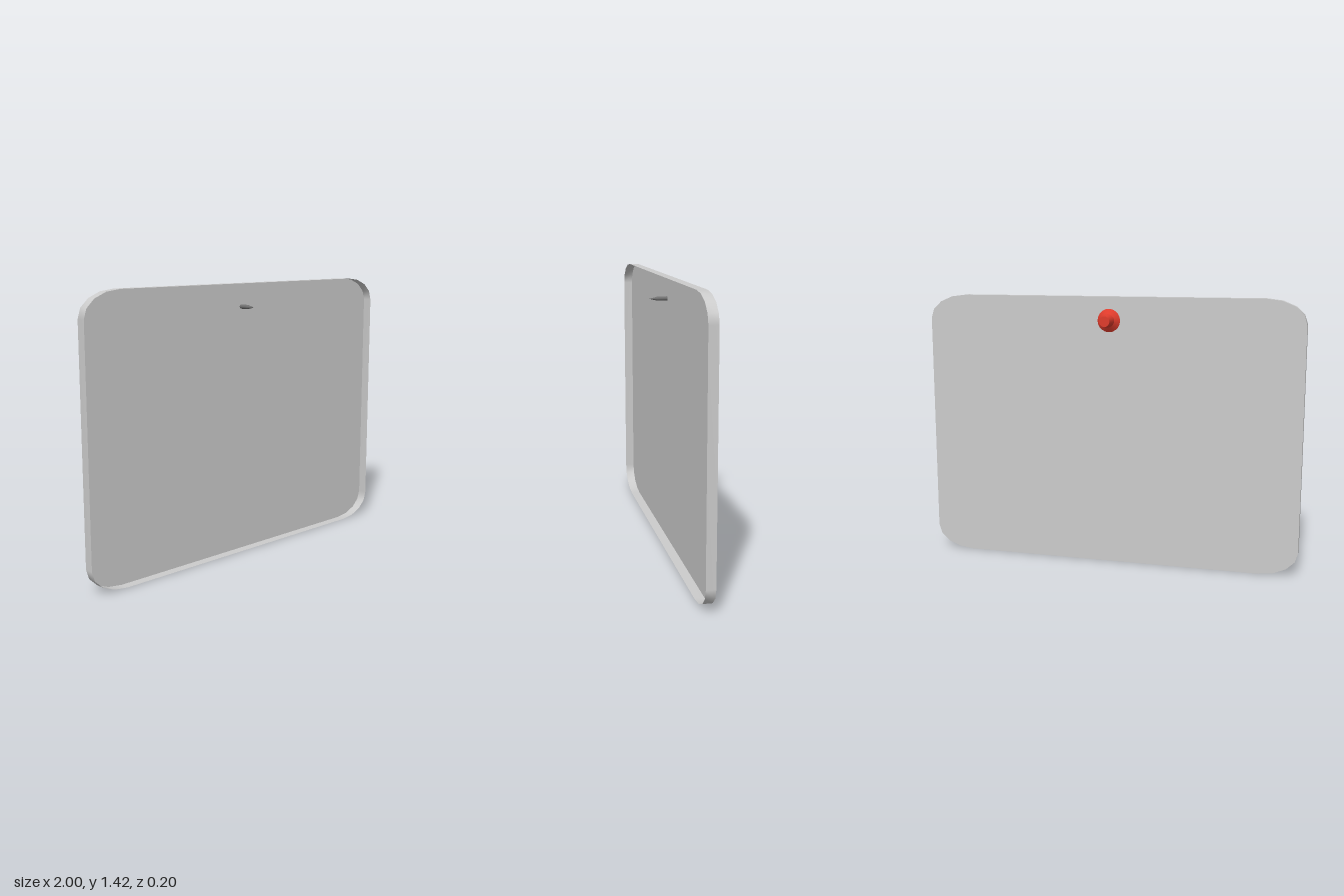
import * as THREE from 'three';

const W = 1, H = 1.418;           // half width, full height of the board
const CX = 0.2, CY = 0.127;       // corner radii
const BACK = 0.005, FRONT = 0.053;
const PIN_Y = 1.297;

// Board outline, counter-clockwise, with elliptical corners
function outline() {
  const pts = [];
  const centres = [[W - CX, H - CY], [CX - W, H - CY], [CX - W, CY], [W - CX, CY]];
  centres.forEach(([x, y], q) => {
    for (let i = 0; i <= 4; i++) {
      const a = (q + i / 4) * Math.PI / 2;
      pts.push(new THREE.Vector2(x + CX * Math.cos(a), y + CY * Math.sin(a)));
    }
  });
  return pts;
}

// Open band that follows the outline from back to front
function bandGeometry(pts) {
  const pos = [], idx = [], n = pts.length;
  pts.forEach((p, i) => {
    pos.push(p.x, p.y, BACK, p.x, p.y, FRONT);
    const a = 2 * i, b = 2 * ((i + 1) % n);
    idx.push(a, b, b + 1, a, b + 1, a + 1);
  });
  const g = new THREE.BufferGeometry();
  g.setAttribute('position', new THREE.Float32BufferAttribute(pos, 3));
  g.setIndex(idx);
  g.computeVertexNormals();
  return g;
}

// Turned part along z; inner profile points are doubled to keep edges sharp
function turned(name, profile, material) {
  const pts = [];
  profile.forEach(([r, z], i) => {
    pts.push(new THREE.Vector2(r, z));
    if (i > 0 && i < profile.length - 1) pts.push(new THREE.Vector2(r, z));
  });
  const g = new THREE.LatheGeometry(pts, 20);
  g.rotateX(Math.PI / 2);
  const mesh = new THREE.Mesh(g, material);
  mesh.name = name;
  return mesh;
}

export function createModel() {
  const model = new THREE.Group();
  model.name = 'pinnedBoard';

  // Shallow tray: closed back panel and thin rim, open at the front
  const grey = new THREE.MeshStandardMaterial({ color: 0xcccccc, side: THREE.DoubleSide });
  const pts = outline();
  const panel = new THREE.Mesh(new THREE.ShapeGeometry(new THREE.Shape(pts)), grey);
  panel.name = 'backPanel';
  panel.position.z = BACK;
  const rim = new THREE.Mesh(bandGeometry(pts), grey);
  rim.name = 'rim';
  model.add(panel, rim);

  // Push pin through the panel near the top
  const pin = new THREE.Group();
  pin.name = 'pushPin';
  pin.position.y = PIN_Y;
  const red = new THREE.MeshStandardMaterial({ color: 0xe03c2c });
  const steel = new THREE.MeshStandardMaterial({ color: 0x707070 });
  pin.add(
    turned('pinHandle', [[0, -0.1], [0.027, -0.1], [0.034, -0.031], [0.06, -0.011], [0, -0.011]], red),
    turned('pinNeedle', [[0, -0.012], [0.011, -0.012], [0.011, 0.053], [0, 0.1]], steel)
  );
  model.add(pin);
  return model;
}
